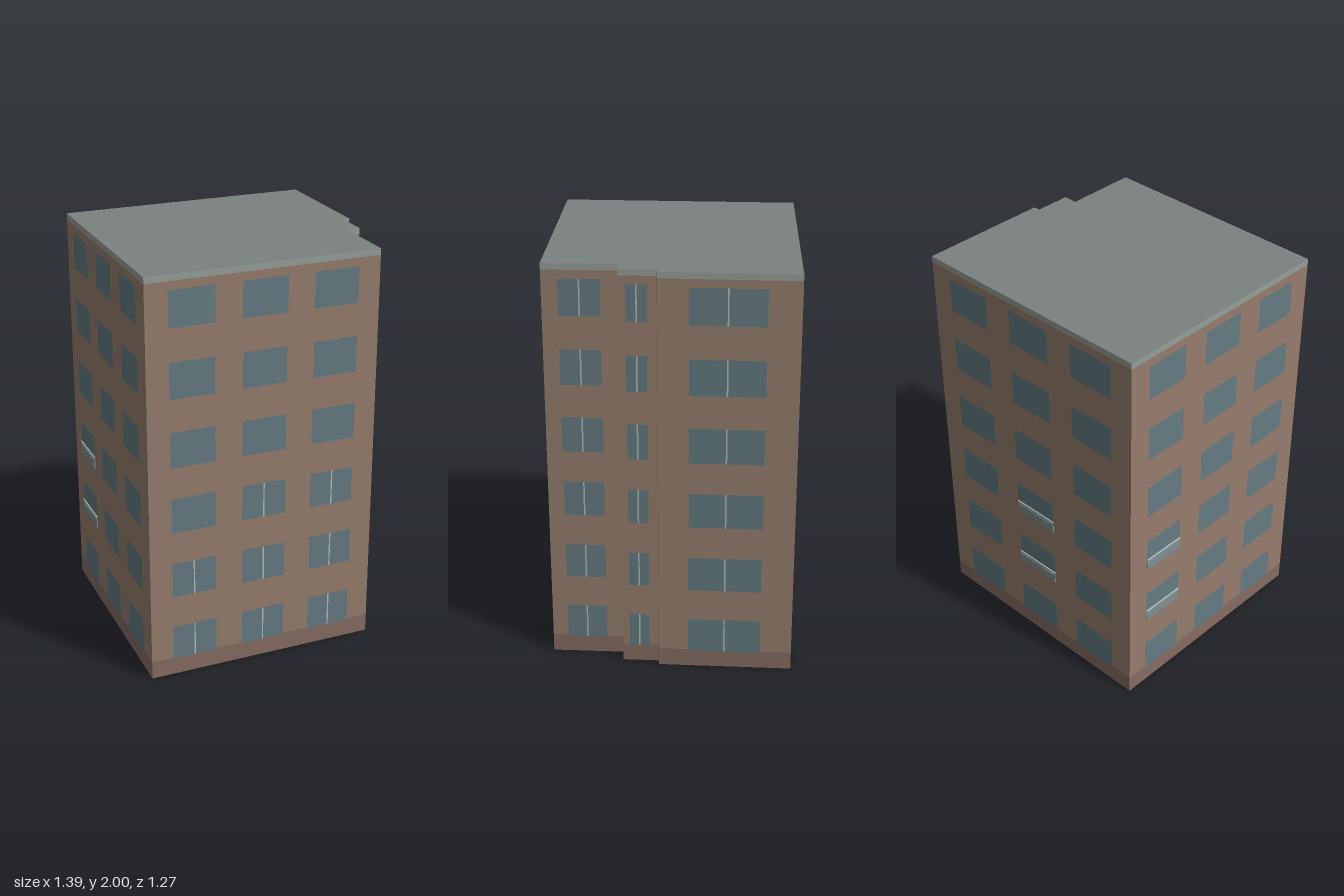
import * as THREE from 'three';

const paint = (color, side = THREE.FrontSide) => new THREE.MeshStandardMaterial({ color, side });

export function createModel() {
  const model = new THREE.Group();
  model.name = 'apartmentBlock';

  const brick = paint(0x957d6d, THREE.DoubleSide);
  const plinth = paint(0x866c61, THREE.DoubleSide);
  const coping = paint(0x969f9a, THREE.DoubleSide);
  const roofing = paint(0x7a827e, THREE.DoubleSide);
  const glass = paint(0x647b82);
  const panelGlass = paint(0x7d9093);
  const frame = paint(0xb4bcb8);

  // Window rows and the three levels of each wall
  const rows = [0.085, 0.42, 0.755, 1.085, 1.42, 1.755];
  const winH = 0.175;
  const bands = [
    ['plinth', 0, 0.09, plinth],
    ['brickwork', 0.09, 1.97, brick],
    ['coping', 1.97, 2, coping],
  ];

  // Footprint corners (x, z), starting at the front right-hand side seen from the front
  const corners = [
    [-0.695, 0.522], [0.45, 0.637], [0.492, 0.287], [0.56, 0.294],
    [0.582, 0.122], [0.615, 0.122], [0.695, -0.515], [-0.555, -0.637],
  ];

  // Each wall's window columns as fractions of its length
  const three = [[0.095, 0.288], [0.404, 0.597], [0.712, 0.905]];
  const always = () => true;
  const walls = [
    { name: 'frontWall', cols: three, mullion: (c, r) => r < 2 || (r === 2 && c > 0) },
    { name: 'sideWallFront', cols: [[0.214, 0.76]], mullion: always },
    { name: 'frontStep' },
    { name: 'sideWallMiddle', cols: [[0.19, 0.75]], mullion: always },
    { name: 'rearStep' },
    { name: 'sideWallRear', cols: [[0.22, 0.764]], mullion: always },
    { name: 'backWall', cols: three, railing: (c, r) => c === 1 && (r === 1 || r === 2) },
    { name: 'leftWall', cols: three, railing: (c, r) => c === 0 && (r === 1 || r === 2) },
  ];

  function add(parent, name, geometry, material, x, y, z) {
    const mesh = new THREE.Mesh(geometry, material);
    mesh.name = name;
    mesh.position.set(x, y, z);
    parent.add(mesh);
  }

  walls.forEach((w, i) => {
    const [x0, z0] = corners[i];
    const [x1, z1] = corners[(i + 1) % corners.length];
    const len = Math.hypot(x1 - x0, z1 - z0);

    // Local x runs along the wall, local z points outwards
    const wall = new THREE.Group();
    wall.name = w.name;
    wall.position.set(x0, 0, z0);
    wall.rotation.y = Math.atan2(z0 - z1, x1 - x0);
    model.add(wall);

    for (const [name, y0, y1, mat] of bands)
      add(wall, name, new THREE.PlaneGeometry(len, y1 - y0), mat, len / 2, (y0 + y1) / 2, 0);

    (w.cols ?? []).forEach(([a, b], c) => rows.forEach((y, r) => {
      const width = (b - a) * len;
      const x = (a + b) / 2 * len;
      add(wall, 'windowPane', new THREE.PlaneGeometry(width, winH), glass, x, y + winH / 2, 0.002);
      if (w.mullion?.(c, r))
        add(wall, 'mullion', new THREE.PlaneGeometry(0.007, winH), frame, x, y + winH / 2, 0.003);
      // Low guard panel with a pale rail across the lower part of the window
      if (w.railing?.(c, r)) {
        add(wall, 'guardPanel', new THREE.BoxGeometry(width, 0.045, 0.005), panelGlass, x, y + 0.0225, 0.0025);
        add(wall, 'guardRail', new THREE.BoxGeometry(width, 0.008, 0.007), frame, x, y + 0.06, 0.0035);
      }
    }));
  });

  // Flat roof over the whole footprint; the underside stays open
  const outline = new THREE.Shape(corners.map(([x, z]) => new THREE.Vector2(x, -z)));
  const roof = new THREE.ShapeGeometry(outline);
  roof.rotateX(-Math.PI / 2);
  add(model, 'roof', roof, roofing, 0, 2, 0);

  return model;
}
